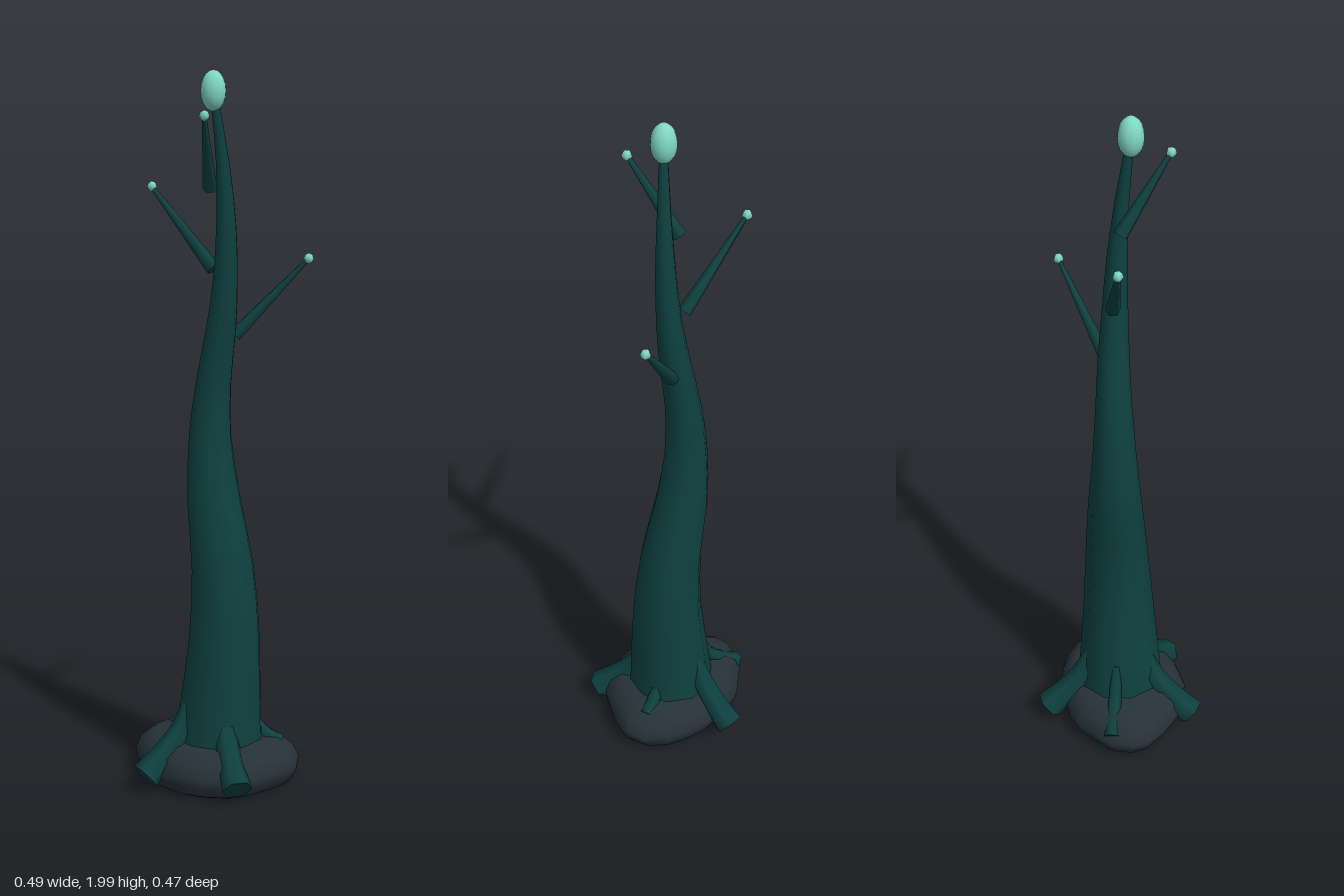
import * as THREE from 'three';

const material = (name, color) => {
  const m = new THREE.MeshStandardMaterial({ color });
  m.name = name;
  return m;
};

// Capped, tapering limb through rings of [x, y, z, radius]
function limb(rings, sides, steps = 0) {
  const path = new THREE.CatmullRomCurve3(rings.map(([x, y, z]) => new THREE.Vector3(x, y, z)));
  const count = steps || rings.length - 1;
  const pos = [], index = [];
  const p = new THREE.Vector3(), side = new THREE.Vector3(), up = new THREE.Vector3();
  const first = path.getPoint(0), last = path.getPoint(1);
  const flat = last.clone().sub(first).setY(0);
  // a constant sideways reference keeps the rings from twisting
  const ref = flat.length() > 0.06 ? new THREE.Vector3(-flat.z, 0, flat.x).normalize() : new THREE.Vector3(1, 0, 0);
  for (let i = 0; i <= count; i++) {
    const t = i / count, f = t * (rings.length - 1);
    const k = Math.min(Math.floor(f), rings.length - 2);
    const r = THREE.MathUtils.lerp(rings[k][3], rings[k + 1][3], f - k);
    path.getPoint(t, p);
    const dir = path.getTangent(t);
    side.copy(ref).addScaledVector(dir, -ref.dot(dir)).normalize();
    up.crossVectors(dir, side);
    for (let j = 0; j < sides; j++) {
      const a = (j / sides) * Math.PI * 2;
      const v = p.clone().addScaledVector(side, Math.cos(a) * r).addScaledVector(up, Math.sin(a) * r);
      pos.push(v.x, v.y, v.z);
      if (i < count) {
        const b = i * sides + j, c = i * sides + (j + 1) % sides;
        index.push(b, c, b + sides, c, c + sides, b + sides);
      }
    }
  }
  // separate cap vertices keep the end edges sharp
  for (const end of [0, count]) {
    const base = pos.length / 3;
    for (let j = 0; j < sides * 3; j++) pos.push(pos[end * sides * 3 + j]);
    for (let j = 1; j < sides - 1; j++) {
      index.push(base, ...(end ? [base + j, base + j + 1] : [base + j + 1, base + j]));
    }
  }
  const g = new THREE.BufferGeometry();
  g.setAttribute('position', new THREE.Float32BufferAttribute(pos, 3));
  g.setIndex(index);
  g.computeVertexNormals();
  return g;
}

// Rounded stone: one irregular outline scaled at several heights
function stone() {
  const outline = [
    [0.24, -0.02], [0.235, 0.01], [0.21, 0.07], [0.165, 0.14], [0.12, 0.18], [0.04, 0.203],
    [-0.035, 0.203], [-0.13, 0.165], [-0.2, 0.09], [-0.24, 0.03], [-0.245, -0.02], [-0.22, -0.08],
    [-0.17, -0.117], [-0.115, -0.155], [-0.05, -0.172], [0.05, -0.172], [0.11, -0.155], [0.17, -0.13], [0.225, -0.08],
  ];
  const levels = [[0, 0.005], [0.8, 0.005], [0.9, 0.015], [0.985, 0.045], [1, 0.07], [0.93, 0.105], [0.76, 0.135], [0, 0.145]];
  const pos = [], index = [], n = outline.length;
  levels.forEach(([s, y], i) => outline.forEach(([x, z], j) => {
    pos.push(x * s, y, z * s);
    if (i < levels.length - 1) {
      const b = i * n + j, c = i * n + (j + 1) % n;
      index.push(b, b + n, c, c, b + n, c + n);
    }
  }));
  const g = new THREE.BufferGeometry();
  g.setAttribute('position', new THREE.Float32BufferAttribute(pos, 3));
  g.setIndex(index);
  g.computeVertexNormals();
  return g;
}

export function createModel() {
  const bark = material('dark teal bark', 0x0f4040);
  const rock = material('slate stone', 0x263238);
  const glow = material('pale mint bulb', 0x80d8c3);
  const model = new THREE.Group();
  model.name = 'tree';
  const add = (name, geometry, mat, parent = model) => {
    const mesh = new THREE.Mesh(geometry, mat);
    mesh.name = name;
    parent.add(mesh);
    return mesh;
  };

  add('baseStone', stone(), rock);

  // Swaying trunk
  add('trunk', limb([
    [0.01, 0.06, 0.005, 0.135], [0.015, 0.2, 0.007, 0.122], [0.028, 0.42, 0.006, 0.104],
    [0.02, 0.63, -0.002, 0.09], [-0.012, 0.82, -0.015, 0.077], [-0.025, 1.0, -0.02, 0.061],
    [-0.013, 1.16, -0.019, 0.05], [0.01, 1.3, -0.013, 0.043], [0.026, 1.44, -0.005, 0.035],
    [0.031, 1.59, 0.002, 0.028], [0.025, 1.75, 0.012, 0.019], [0.008, 1.92, 0.028, 0.011],
  ], 10, 22), bark);

  // Roots gripping the stone: [foot x, foot z, foot y, foot radius]
  const roots = [
    [0, -0.222, 0.06, 0.045], [0.138, 0.193, 0.055, 0.043], [-0.138, 0.193, 0.055, 0.043],
    [0.178, -0.045, 0.115, 0.025], [-0.205, -0.075, 0.085, 0.025],
  ];
  roots.forEach(([x, z, y, r], i) => {
    const d = Math.hypot(x, z), ux = x / d, uz = z / d;
    add(`root${i + 1}`, limb([
      [ux * 0.085, 0.25, uz * 0.085, r * 0.5],
      [ux * 0.115, 0.17, uz * 0.115, r * 0.75],
      [ux * (d * 0.5 + 0.06), (y + 0.15) / 2, uz * (d * 0.5 + 0.06), r * 0.85],
      [x, y, z, r],
    ], 6, 6), bark);
  });

  // Straight twigs with a small bud at each tip
  const twigs = [
    [[-0.015, 1.465, -0.022], [-0.215, 1.685, -0.062]],
    [[0.045, 1.285, -0.03], [0.23, 1.495, -0.11]],
    [[-0.018, 1.685, -0.003], [0.022, 1.88, 0.14]],
  ];
  twigs.forEach(([a, b], i) => {
    const twig = new THREE.Group();
    twig.name = `branch${i + 1}`;
    model.add(twig);
    add('twig', limb([[...a, 0.02], [...b, 0.006]], 6), bark, twig);
    add('bud', new THREE.SphereGeometry(0.015, 5, 4), glow, twig).position.set(...b);
  });

  // Large bulb on the crown
  const bulb = add('crownBulb', new THREE.SphereGeometry(0.035, 12, 10), glow);
  bulb.scale.y = 1.57;
  bulb.position.set(0.005, 1.945, 0.03);
  return model;
}
